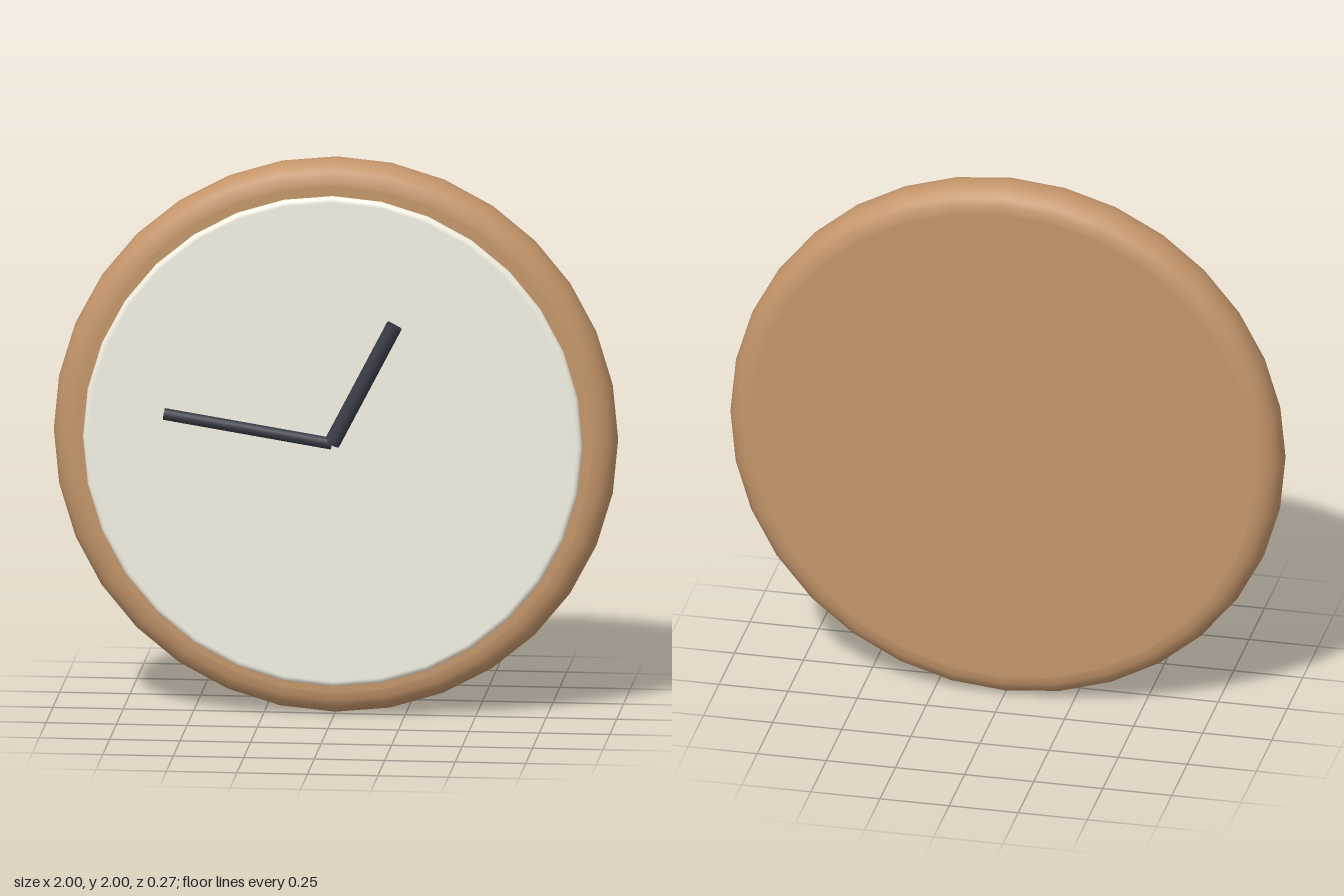
import * as THREE from 'three';

const WOOD = 0xc4956a, CREAM = 0xf5f2e4, DARK = 0x3a3a46;

function addMesh(group, name, geometry, color) {
  const mesh = new THREE.Mesh(geometry, new THREE.MeshStandardMaterial({ color }));
  mesh.name = name;
  group.add(mesh);
  return mesh;
}

// Solid disc facing +z between z0 and z1, with a rounded rim
function roundedDisc(radius, z0, z1, bevel, steps) {
  const pts = [new THREE.Vector2(0, z0), new THREE.Vector2(radius - bevel - 0.005, z0)];
  const arc = (zc, from) => {
    for (let i = 0; i <= steps; i++) {
      const a = from + (i / steps) * Math.PI / 2;
      pts.push(new THREE.Vector2(radius - bevel + bevel * Math.cos(a), zc + bevel * Math.sin(a)));
    }
  };
  arc(z0 + bevel, -Math.PI / 2);
  arc(z1 - bevel, 0);
  pts.push(new THREE.Vector2(radius - bevel - 0.005, z1), new THREE.Vector2(0, z1));
  return new THREE.LatheGeometry(pts, 32).rotateX(Math.PI / 2);
}

export function createModel() {
  const clock = new THREE.Group();
  clock.name = 'wallClock';

  // Case and dial
  addMesh(clock, 'case', roundedDisc(1, -0.138, 0.046, 0.08, 5), WOOD).position.y = 1;
  addMesh(clock, 'dial', roundedDisc(0.886, 0.054, 0.088, 0.016, 3), CREAM).position.y = 1;

  // Round-bar hands reaching from the centre to a tip
  const addHand = (name, x, y, z, radius) => {
    const length = Math.hypot(x, y);
    const bar = new THREE.CylinderGeometry(radius, radius, length, 10).translate(0, length / 2, 0);
    const hand = addMesh(clock, name, bar, DARK);
    hand.position.set(0, 1, z);
    hand.rotation.z = Math.atan2(-x, y);
  };
  addHand('hourHand', 0.222, 0.43, 0.107, 0.03);
  addHand('minuteHand', -0.595, 0.095, 0.113, 0.021);

  return clock;
}
